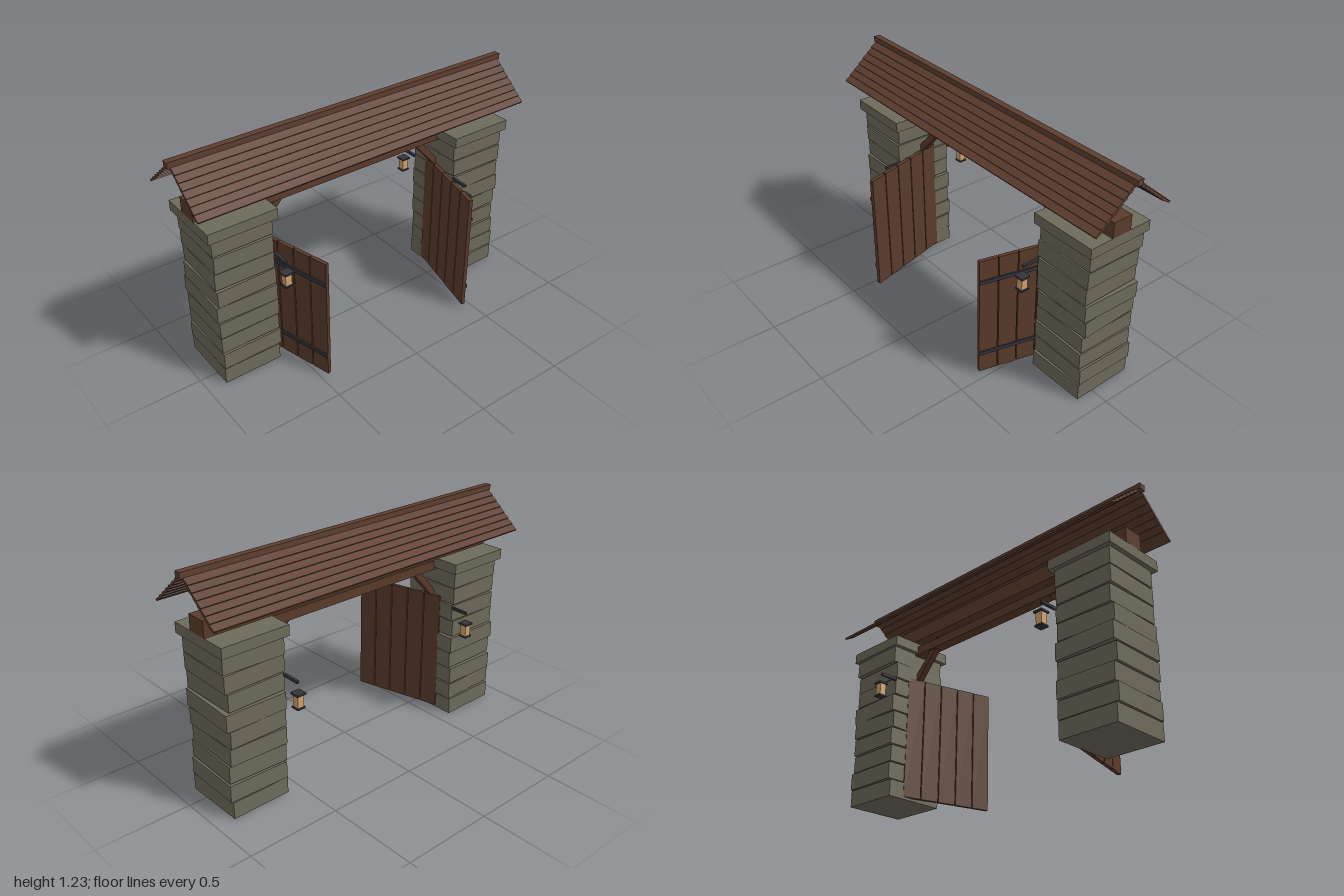
import * as THREE from 'three';

const mat = (name, color) => {
  const m = new THREE.MeshStandardMaterial({ color });
  m.name = name;
  return m;
};

export function createModel() {
  const stone = mat('stone', 0x6d6a5a);
  const wood = mat('wood', 0x5a3b2b);
  const shingle = mat('roof boards', 0x5e3e30);
  const iron = mat('iron', 0x34353b);
  const glow = mat('lantern glass', 0xd0a26c);

  const MID = -0.07; // depth of the gate line
  const model = new THREE.Group();
  model.name = 'gate';

  const box = (parent, name, material, size, pos, rot = [0, 0, 0]) => {
    const mesh = new THREE.Mesh(new THREE.BoxGeometry(...size), material);
    mesh.name = name;
    mesh.position.set(...pos);
    mesh.rotation.set(...rot);
    parent.add(mesh);
    return mesh;
  };
  const group = (name) => {
    const g = new THREE.Group();
    g.name = name;
    model.add(g);
    return g;
  };

  // seeded jitter in -1..1
  let seed = 7;
  const jitter = (amount) => {
    seed = (seed * 16807) % 2147483647;
    return (seed / 2147483647 * 2 - 1) * amount;
  };

  for (const [side, label] of [[-1, 'right'], [1, 'left']]) {
    // pillar of uneven stone courses under a cap
    const pillar = group(label + 'Pillar');
    const courses = 9, pitch = 0.096;
    for (let i = 0; i < courses; i++) {
      box(pillar, 'stoneCourse', stone,
        [0.328 + jitter(0.008), 0.09, 0.328 + jitter(0.008)],
        [side * 0.74 + jitter(0.005), 0.051 + i * pitch, MID + jitter(0.005)],
        [jitter(0.012), jitter(0.035), jitter(0.012)]);
    }
    box(pillar, 'pillarCap', stone, [0.37, 0.056, 0.37], [side * 0.742, 0.893, MID]);

    // diagonal brace between pillar and lintel
    box(model, label + 'Brace', wood, [0.28, 0.035, 0.035],
      [side * 0.488, 0.803, MID], [0, 0, -side * 0.84]);

    // open door leaf: local +x runs from hinge to free edge
    const door = group(label + 'Door');
    const dx = -side * 0.13, dz = 0.5;
    door.position.set(side * 0.585, 0, -0.14);
    door.rotation.y = Math.atan2(-dz, dx);
    const planks = 5, plankPitch = 0.1035;
    for (let i = 0; i < planks; i++) {
      box(door, 'doorPlank', wood, [0.098, 0.68, 0.02], [(i + 0.5) * plankPitch, 0.36, 0]);
    }
    for (const y of [0.14, 0.58]) {
      box(door, 'doorStrap', iron, [planks * plankPitch - 0.004, 0.02, 0.008],
        [planks * plankPitch / 2, y, -side * 0.0135]);
    }

    // lanterns on short arms, front and back
    for (const facing of [1, -1]) {
      const lantern = group(label + (facing > 0 ? 'FrontLantern' : 'BackLantern'));
      lantern.position.set(side * 0.575, 0, MID + facing * 0.26);
      box(lantern, 'lanternArm', iron, [0.014, 0.014, 0.1], [0, 0.662, -facing * 0.05]);
      box(lantern, 'lanternTop', iron, [0.052, 0.01, 0.052], [0, 0.605, 0]);
      box(lantern, 'lanternGlass', glow, [0.036, 0.064, 0.036], [0, 0.568, 0]);
      box(lantern, 'lanternBase', iron, [0.046, 0.009, 0.046], [0, 0.533, 0]);
    }
  }

  // lintel beams
  box(model, 'mainBeam', wood, [1.855, 0.084, 0.112], [0, 0.963, MID]);
  box(model, 'lowerBeam', wood, [1.2, 0.05, 0.06], [0, 0.876, MID]);

  // roof of overlapping boards on both slopes
  const roof = group('roof');
  const rows = 7, tilt = 0.55;
  for (const facing of [1, -1]) {
    for (let i = 0; i < rows; i++) {
      const t = i / (rows - 1);
      box(roof, 'roofBoard', shingle, [1.97, 0.011, 0.062],
        [0, 1.046 + t * 0.153, MID + facing * (0.203 - t * 0.18)],
        [facing * tilt, 0, 0]);
    }
  }
  box(roof, 'ridgeBeam', shingle, [2, 0.032, 0.036], [0, 1.221, MID]);

  return model;
}
